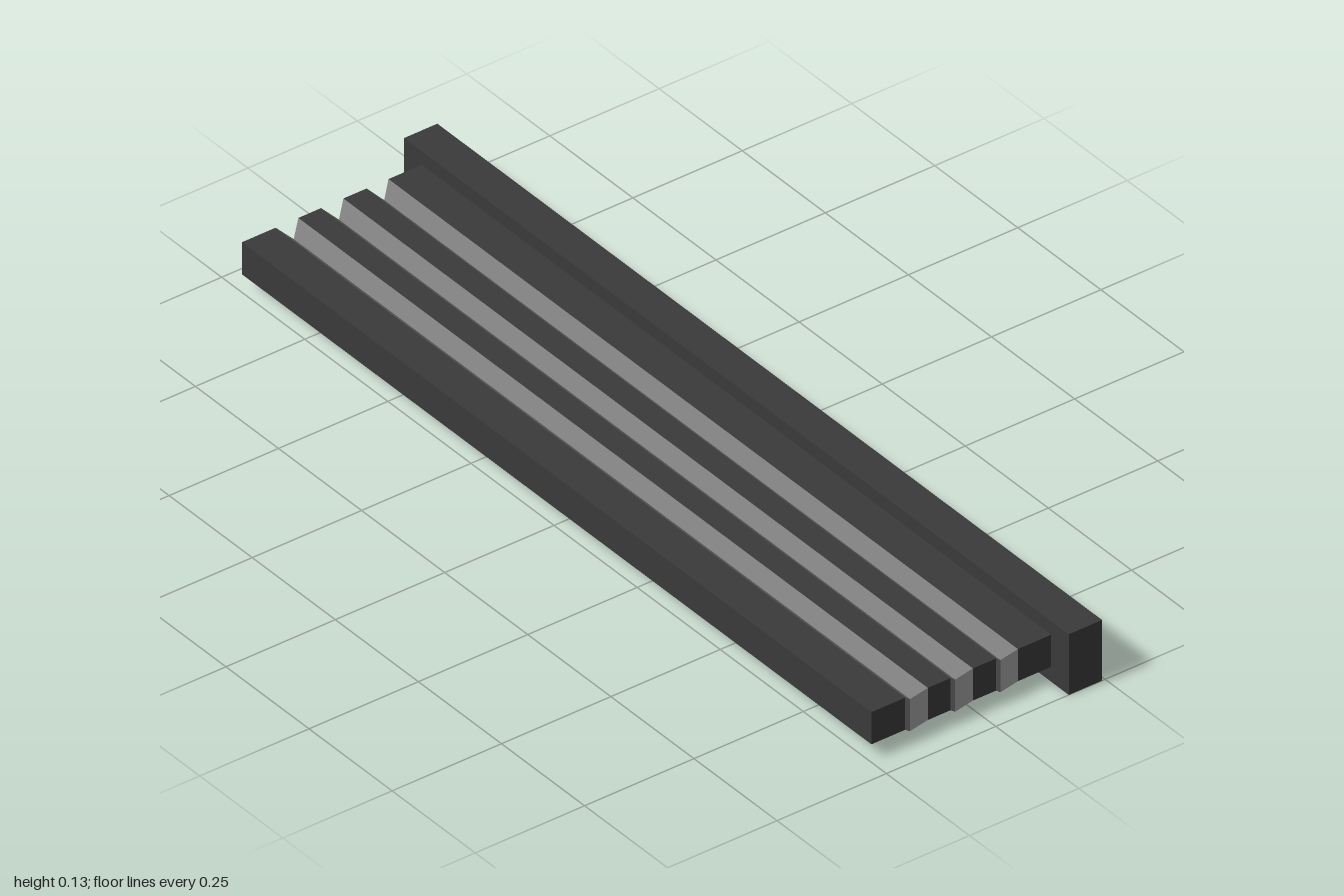
import * as THREE from 'three';

const charcoal = new THREE.MeshStandardMaterial({ color: 0x3a3a3a, side: THREE.DoubleSide });
charcoal.name = 'charcoal';
const grey = new THREE.MeshStandardMaterial({ color: 0x747474, side: THREE.DoubleSide });
grey.name = 'foldGrey';

// Rectangular section at depth z: half width and vertical extent
const section = (z, halfWidth, low, high) => [
  [-halfWidth, low, z], [halfWidth, low, z], [halfWidth, high, z], [-halfWidth, high, z],
];

// Open sleeve joining consecutive sections, ordered back to front
function sleeve(sections) {
  const points = [];
  for (let s = 0; s < sections.length - 1; s++) {
    const a = sections[s], b = sections[s + 1];
    for (let i = 0; i < 4; i++) {
      const j = (i + 1) % 4;
      points.push(...a[i], ...a[j], ...b[j], ...a[i], ...b[j], ...b[i]);
    }
  }
  const geometry = new THREE.BufferGeometry();
  geometry.setAttribute('position', new THREE.Float32BufferAttribute(points, 3));
  geometry.computeVertexNormals();
  return geometry;
}

export function createModel() {
  const group = new THREE.Group();
  const add = (name, geometry, material) => {
    const mesh = new THREE.Mesh(geometry, material);
    mesh.name = name;
    group.add(mesh);
    return mesh;
  };

  const W = 0.947, LOW = 0.033, HIGH = 0.104;   // ribs
  const FW = 1, FH = 0.134;                     // flange
  const BACK = -0.243, STEP = -0.167, FRONT = 0.244;
  const rib = (z) => section(z, W, LOW, HIGH);

  // Flange rim, open at the back
  add('flangeRim', sleeve([section(BACK, FW, 0, FH), section(STEP, FW, 0, FH)]), charcoal);

  // Flange face around the opening of the hollow ribs
  const face = new THREE.Shape([
    new THREE.Vector2(-FW, 0), new THREE.Vector2(FW, 0),
    new THREE.Vector2(FW, FH), new THREE.Vector2(-FW, FH),
  ]);
  face.holes.push(new THREE.Path([
    new THREE.Vector2(-W, LOW), new THREE.Vector2(-W, HIGH),
    new THREE.Vector2(W, HIGH), new THREE.Vector2(W, LOW),
  ]));
  add('flangeFace', new THREE.ShapeGeometry(face), charcoal).position.z = STEP;

  // Straight ribs with a sagging, pinched fold after each
  const ribs = [[STEP, -0.091], [-0.041, 0.012], [0.063, 0.115], [0.167, FRONT]];
  ribs.forEach(([start, end], i) => {
    add('rib', sleeve([rib(start), rib(end)]), charcoal);
    if (i === ribs.length - 1) return;
    const next = ribs[i + 1][0];
    const valley = section((end + next) / 2, W - 0.02, LOW - 0.025, HIGH - 0.025);
    add('fold', sleeve([rib(end), valley, rib(next)]), grey);
  });

  // Closed front end
  add('frontPanel', new THREE.PlaneGeometry(2 * W, HIGH - LOW), charcoal)
    .position.set(0, (LOW + HIGH) / 2, FRONT);

  return group;
}
